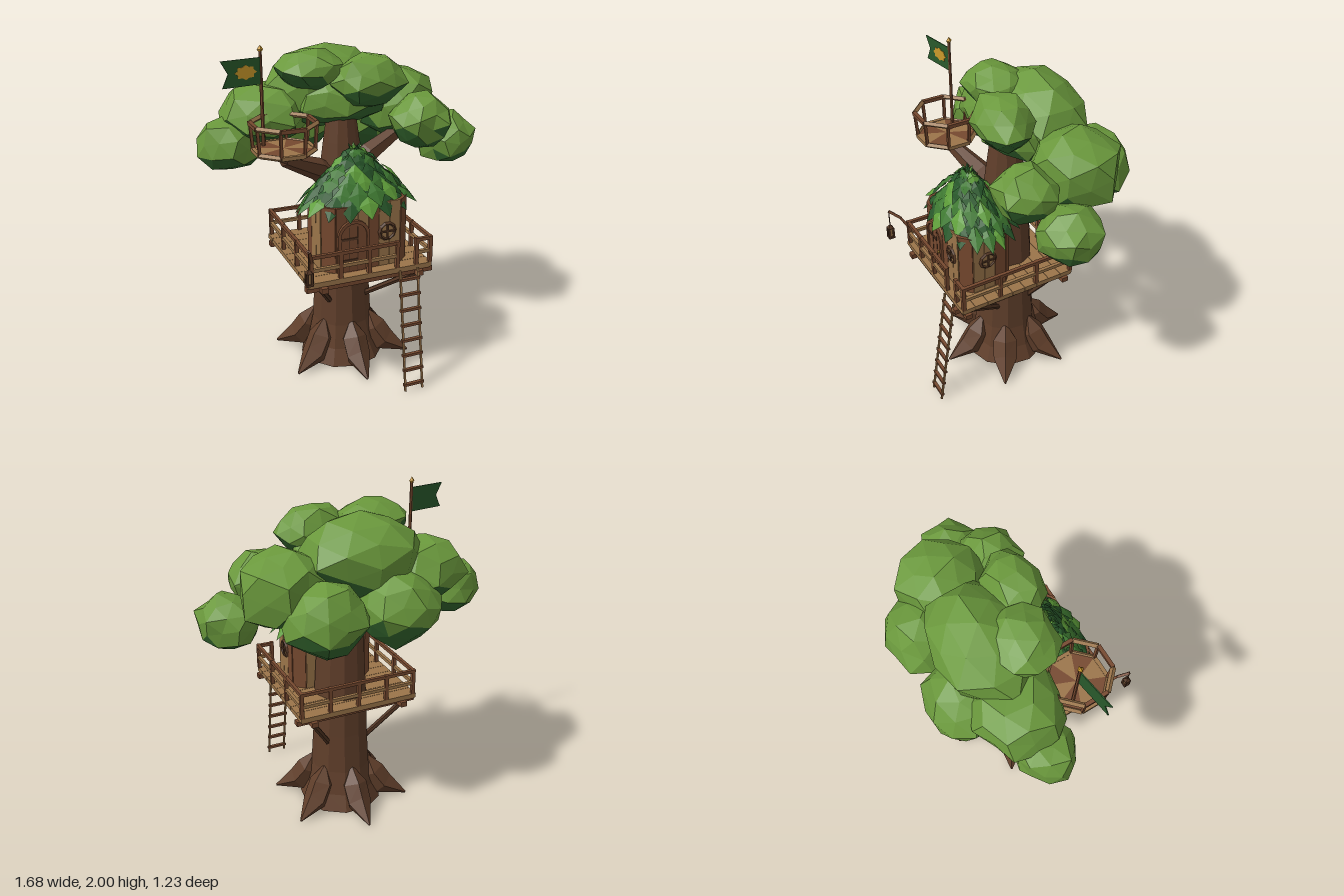
import * as THREE from 'three';

const paint = (name, color, side = THREE.FrontSide) => {
  const m = new THREE.MeshStandardMaterial({ color, side });
  m.name = name;
  return m;
};
const V = (x, y, z) => new THREE.Vector3(x, y, z);

// Separate every face so that edges stay crisp
function facet(geo) {
  const g = geo.index ? geo.toNonIndexed() : geo;
  g.computeVertexNormals();
  return g;
}

// Tapered low-poly limb through a list of [x, y, z, radius] sections
function limbGeometry(sections, sides) {
  const pos = [], idx = [];
  const p = sections.map(s => V(s[0], s[1], s[2]));
  p.forEach((c, i) => {
    const dir = p[Math.min(i + 1, p.length - 1)].clone().sub(p[Math.max(i - 1, 0)]).normalize();
    const side = V(0, 1, 0).cross(dir).normalize();
    const up = dir.clone().cross(side).normalize();
    for (let k = 0; k < sides; k++) {
      const a = (k / sides) * Math.PI * 2 + Math.PI / 2;
      const q = c.clone().addScaledVector(side, Math.cos(a) * sections[i][3]).addScaledVector(up, Math.sin(a) * sections[i][3]);
      pos.push(q.x, Math.max(q.y, 0), q.z);
      if (i) {
        const k2 = (k + 1) % sides, lo = (i - 1) * sides, hi = i * sides;
        idx.push(lo + k, lo + k2, hi + k2, lo + k, hi + k2, hi + k);
      }
    }
  });
  const g = new THREE.BufferGeometry();
  g.setAttribute('position', new THREE.Float32BufferAttribute(pos, 3));
  g.setIndex(idx);
  return facet(g);
}

export function createModel() {
  const root = new THREE.Group();
  root.name = 'treeHouse';
  const bark = paint('bark', 0x5f3e2a, THREE.DoubleSide), dark = paint('darkWood', 0x523523);
  const wood = paint('wood', 0x76492f), tan = paint('paleWood', 0x9b754a);
  const crown = paint('crownGreen', 0x6a983c), shade = paint('crownUnderside', 0x34672f);
  const leafLight = paint('thatchLight', 0x5f9f3a, THREE.DoubleSide);
  const leafMid = paint('thatchMid', 0x3f7a32, THREE.DoubleSide);
  const leafDark = paint('darkGreen', 0x29592b, THREE.DoubleSide), gold = paint('gold', 0xcc9a2a);

  const group = (name, x = 0, y = 0, z = 0, parent = root) => {
    const g = new THREE.Group();
    g.name = name;
    g.position.set(x, y, z);
    parent.add(g);
    return g;
  };
  const add = (parent, name, geo, mat, x = 0, y = 0, z = 0) => {
    const m = new THREE.Mesh(facet(geo), mat);
    m.name = name;
    m.position.set(x, y, z);
    parent.add(m);
    return m;
  };
  const box = (parent, name, mat, w, h, d, x, y, z) => add(parent, name, new THREE.BoxGeometry(w, h, d), mat, x, y, z);
  const beam = (parent, name, mat, a, b, t, sides = 4) => {
    const dir = b.clone().sub(a), mid = a.clone().add(b).multiplyScalar(0.5);
    const geo = sides === 4 ? new THREE.BoxGeometry(t, dir.length(), t) : new THREE.CylinderGeometry(t / 2, t / 2, dir.length(), sides);
    const m = add(parent, name, geo, mat, mid.x, mid.y, mid.z);
    m.quaternion.setFromUnitVectors(V(0, 1, 0), dir.normalize());
    return m;
  };

  // Trunk, six broad roots and two branches
  const tree = group('tree', -0.02, 0, 0);
  const profile = [[0.26, 0], [0.215, 0.1], [0.185, 0.25], [0.17, 0.5], [0.162, 0.75], [0.14, 1.15], [0.108, 1.4], [0.08, 1.6]];
  add(tree, 'trunk', new THREE.LatheGeometry(profile.map(q => new THREE.Vector2(...q)), 11), bark);
  for (let i = 0; i < 6; i++) {
    const a = (i / 6) * Math.PI * 2;
    const sec = [[0.165, 0.285, 0.004], [0.2, 0.175, 0.08], [0.275, 0.075, 0.078], [0.425, 0.006, 0.006]];
    add(tree, 'root', limbGeometry(sec.map(([r, y, w]) => [Math.sin(a) * r, y, Math.cos(a) * r, w]), 5), bark);
  }
  [[-0.4, 1.37, 0.15], [0.42, 1.42, -0.04]].forEach(([x, y, z]) =>
    add(tree, 'branch', limbGeometry([[0, 1.1, 0, 0.09], [x * 0.45, 1.1 + (y - 1.1) * 0.6, z * 0.45, 0.066], [x, y, z, 0.04]], 6), bark));

  // Leaf crown: faceted clumps, darker on the faces that look down
  const clumps = [
    [-0.04, 1.68, -0.2, 0.36, 0.24, 0.27], [-0.195, 1.825, -0.03, 0.2, 0.11, 0.18], [0.11, 1.755, 0.09, 0.215, 0.15, 0.16],
    [-0.43, 1.545, -0.2, 0.26, 0.185, 0.25], [-0.65, 1.395, -0.17, 0.19, 0.165, 0.165], [0.41, 1.55, -0.18, 0.25, 0.235, 0.25],
    [0.67, 1.34, 0.0, 0.18, 0.16, 0.185], [0.43, 1.505, 0.14, 0.185, 0.16, 0.175], [-0.18, 1.42, -0.405, 0.24, 0.2, 0.215],
    [0.25, 1.42, -0.4, 0.24, 0.21, 0.215], [0, 1.635, -0.03, 0.28, 0.15, 0.17]];
  const crownGroup = group('crown');
  clumps.forEach(([x, y, z, rx, ry, rz], n) => {
    const g = new THREE.IcosahedronGeometry(1, 1), p = g.attributes.position;
    const q = V(0, 0, 0);
    g.rotateY(n * 1.3).rotateX(n * 0.7);
    for (let i = 0; i < p.count; i++) {
      q.fromBufferAttribute(p, i);
      q.multiplyScalar(1 + 0.09 * Math.sin(q.x * 5 + n * 2) * Math.cos(q.z * 4 - n) + 0.06 * Math.sin(q.y * 7 + n));
      p.setXYZ(i, q.x * rx, q.y * ry, q.z * rz);
    }
    g.computeVertexNormals();
    g.clearGroups();
    for (let i = 0; i < p.count; i += 3) g.addGroup(i, 3, g.attributes.normal.getY(i) < -0.38 ? 1 : 0);
    add(crownGroup, 'leafClump', g, [crown, shade], x, y, z);
  });

  // Platform with joists and braces
  const deck = group('platform');
  for (let i = 0; i < 9; i++) box(deck, 'deckPlank', tan, 0.755, 0.028, 0.08, -0.032, 0.741, -0.211 + i * 0.0825);
  box(deck, 'deckUnderside', wood, 0.74, 0.01, 0.73, -0.03, 0.724, 0.118);
  [-0.32, 0.265].forEach(x => box(deck, 'joist', wood, 0.04, 0.032, 0.78, x, 0.706, 0.12));
  [-0.2, 0.455].forEach(z => box(deck, 'crossJoist', wood, 0.775, 0.03, 0.04, -0.028, 0.707, z));
  [[-1, 0.47, 0.1], [1, 0.47, 0.1], [-1, -0.22, -0.07], [1, -0.22, -0.07]].forEach(([s, z, z0]) =>
    beam(deck, 'brace', dark, V(-0.03 + s * 0.11, 0.41, z0), V(-0.03 + s * 0.3, 0.7, z), 0.036, 6));

  // Railing, open at the ladder
  const railing = group('railing');
  const rail = (x1, z1, x2, z2, n) => {
    [0.908, 0.83].forEach((y, k) => beam(railing, 'rail', k ? tan : wood, V(x1, y, z1), V(x2, y, z2), 0.02));
    for (let i = 0; i <= n; i++)
      box(railing, 'railPost', wood, 0.022, 0.165, 0.022, x1 + (x2 - x1) * i / n, 0.837, z1 + (z2 - z1) * i / n);
  };
  rail(-0.39, 0.478, 0.13, 0.478, 3);
  rail(0.25, 0.478, 0.338, 0.478, 1);
  rail(0.338, 0.478, 0.338, -0.242, 3);
  rail(0.338, -0.242, -0.39, -0.242, 4);
  rail(-0.39, -0.242, -0.39, 0.478, 3);

  // Rope ladder
  const ladder = group('ladder');
  const ladderZ = y => 0.615 - y * 0.155;
  [0.14, 0.25].forEach(x => beam(ladder, 'ladderRope', tan, V(x, 0, ladderZ(0)), V(x, 0.74, ladderZ(0.74)), 0.011));
  for (let i = 0; i < 8; i++) {
    const y = 0.04 + i * 0.092;
    box(ladder, 'rung', wood, 0.13, 0.016, 0.02, 0.195, y, ladderZ(y));
  }

  // Hut: chamfered walls clad in upright planks
  const hut = group('hut', -0.025, 0.755, 0.252);
  const plan = [[-0.195, 0.163], [0.195, 0.163], [0.258, 0.105], [0.258, -0.105], [0.195, -0.163], [-0.195, -0.163], [-0.258, -0.105], [-0.258, 0.105]];
  const outline = new THREE.Shape(plan.map(([x, z]) => new THREE.Vector2(x, -z)));
  add(hut, 'wallCore', new THREE.ExtrudeGeometry(outline, { depth: 0.39, bevelEnabled: false }).rotateX(-Math.PI / 2), wood);
  let tint = 0;
  plan.forEach(([x1, z1], i) => {
    const [x2, z2] = plan[(i + 1) % 8], len = Math.hypot(x2 - x1, z2 - z1), n = Math.max(1, Math.round(len / 0.065));
    for (let k = 0; k < n; k++) {
      const t = (k + 0.5) / n;
      const m = box(hut, 'wallPlank', tint++ % 3 === 0 || n === 1 ? wood : tan, len / n - 0.003, 0.39, 0.012, x1 + (x2 - x1) * t, 0.195, z1 + (z2 - z1) * t);
      m.rotation.y = Math.atan2(-(z2 - z1), x2 - x1);
    }
  });

  // Arched door
  const arch = (w, h) => {
    const s = new THREE.Shape();
    s.moveTo(-w, 0).lineTo(w, 0).lineTo(w, h - w).absarc(0, h - w, w, 0, Math.PI).lineTo(-w, 0);
    return s;
  };
  const slab = (shape, depth) => new THREE.ExtrudeGeometry(shape, { depth, bevelEnabled: false, curveSegments: 6 });
  const door = group('door', -0.093, 0, 0.169, hut);
  const frame = arch(0.096, 0.312);
  frame.holes.push(arch(0.078, 0.292));
  add(door, 'doorFrame', slab(frame, 0.016), wood);
  add(door, 'doorPanel', slab(arch(0.079, 0.293), 0.006), wood);
  [-0.026, 0.026].forEach(x => box(door, 'doorGroove', dark, 0.004, 0.27, 0.004, x, 0.135, 0.006));
  [0.07, 0.2].forEach(y => box(door, 'hinge', dark, 0.1, 0.014, 0.006, -0.025, y, 0.008));
  add(door, 'doorKnob', new THREE.IcosahedronGeometry(0.009), gold, 0.055, 0.13, 0.012);

  // Round windows
  [[0.115, 0.169, 0], [0.264, 0.012, Math.PI / 2]].forEach(([x, z, turn]) => {
    const w = group('window', x, 0.21, z, hut);
    w.rotation.y = turn;
    add(w, 'windowFrame', new THREE.TorusGeometry(0.047, 0.011, 4, 10), dark);
    add(w, 'windowPane', new THREE.CircleGeometry(0.047, 10), tan, 0, 0, 0.003);
    box(w, 'windowBar', dark, 0.09, 0.01, 0.01, 0, 0, 0.005);
    box(w, 'windowBar', dark, 0.01, 0.09, 0.01, 0, 0, 0.005);
  });

  // Leaf-thatched roof: rows of broad folded leaves over a cone
  const roof = group('roof', -0.03, 0, 0.235);
  add(roof, 'roofCore', new THREE.CylinderGeometry(0.03, 0.305, 0.28, 12).scale(1, 1, 0.7), leafDark, 0, 1.265, 0);
  const leaf = (name, mat, a, r0, y0, r1, y1, w) => {
    const at = (r, y, side) => V(Math.sin(a) * r + Math.cos(a) * side, y, (Math.cos(a) * r - Math.sin(a) * side) * 0.67);
    const rm = r0 + (r1 - r0) * 0.5, ym = y0 + (y1 - y0) * 0.5;
    const top = at(r0, y0, 0), tip = at(r1, y1, 0), mid = at(rm, ym + 0.02, 0), l = at(rm, ym, -w), r = at(rm, ym, w);
    add(roof, name, new THREE.BufferGeometry().setFromPoints([top, l, mid, top, mid, r, l, tip, mid, mid, tip, r]), mat);
  };
  const rows = [[0.24, 1.205, 0.37, 1.075, 18], [0.2, 1.26, 0.325, 1.12, 16], [0.155, 1.31, 0.265, 1.18, 13],
    [0.11, 1.35, 0.2, 1.245, 10], [0.06, 1.39, 0.14, 1.3, 8], [0.02, 1.42, 0.085, 1.35, 6]];
  const thatch = [leafLight, leafDark, leafMid, leafDark, leafMid];
  rows.forEach(([r0, y0, r1, y1, n], row) => {
    for (let i = 0; i < n; i++) {
      const wob = Math.sin(i * 4.7 + row * 2.1);
      leaf('roofLeaf', thatch[(i * 3 + row * 2) % 5], ((i + row * 0.5) / n) * Math.PI * 2,
        r0, y0, r1 + wob * 0.016, y1 + wob * 0.014, 0.06);
    }
  });
  for (let i = 0; i < 6; i++) leaf('roofTuft', i % 2 ? leafLight : leafDark, i * Math.PI / 3, 0.01, 1.38, 0.045, 1.445, 0.018);

  // Lookout basket with flagpole
  const nest = group('lookout', -0.425, 0, 0.17);
  for (let i = 0; i < 8; i++) {
    const a = i * Math.PI / 4 + Math.PI / 8, b = a + Math.PI / 4;
    const at = (t, r, y) => V(Math.sin(t) * r, y, Math.cos(t) * r);
    add(nest, 'floorWedge', new THREE.CylinderGeometry(0.17, 0.155, 0.03, 1, 1, false, a, Math.PI / 4), i % 2 ? tan : wood, 0, 1.43, 0);
    beam(nest, 'floorRim', tan, at(a, 0.172, 1.437), at(b, 0.172, 1.437), 0.022);
    beam(nest, 'topRail', i % 2 ? wood : tan, at(a, 0.184, 1.587), at(b, 0.184, 1.587), 0.022);
    beam(nest, 'nestPost', wood, at(a, 0.17, 1.43), at(a, 0.182, 1.587), 0.016);
  }
  const flag = group('flag', -0.515, 0, 0.085);
  add(flag, 'flagPole', new THREE.CylinderGeometry(0.009, 0.011, 0.55, 6), wood, 0, 1.7, 0);
  add(flag, 'finial', new THREE.OctahedronGeometry(0.018).scale(1, 1.3, 1), gold, 0, 1.976, 0);
  const cloth = group('cloth', 0, 0, 0, flag);
  cloth.rotation.y = 0.15;
  const shapeOf = pts => new THREE.Shape(pts.map(q => new THREE.Vector2(...q)));
  add(cloth, 'pennant', slab(shapeOf([[0, 1.79], [0, 1.935], [-0.23, 1.935], [-0.19, 1.863], [-0.225, 1.79]]), 0.006), leafDark);
  const star = Array.from({ length: 16 }, (_, i) => {
    const a = i * Math.PI / 8, r = i % 2 ? 0.78 : 1;
    return [Math.cos(a) * r * 0.064, Math.sin(a) * r * 0.04];
  });
  add(cloth, 'emblem', slab(shapeOf(star), 0.003), gold, -0.09, 1.863, 0.006);

  // Hanging lantern on a crooked arm
  const lamp = group('lantern', -0.44, 0, 0.582);
  const arm = [V(0.05, 0.88, -0.1), V(0.03, 0.95, -0.06), V(0, 1.0, 0)];
  [0, 1].forEach(i => beam(lamp, 'lanternArm', wood, arm[i], arm[i + 1], 0.016));
  beam(lamp, 'lanternCord', dark, V(0, 0.88, 0), V(0, 1.0, 0), 0.005);
  add(lamp, 'lanternCap', new THREE.ConeGeometry(0.027, 0.025, 4, 1).rotateY(Math.PI / 4), dark, 0, 0.888, 0);
  box(lamp, 'lanternGlow', tan, 0.024, 0.06, 0.024, 0, 0.845, 0);
  [-1, 1].forEach(sx => [-1, 1].forEach(sz => box(lamp, 'lanternBar', dark, 0.012, 0.07, 0.012, sx * 0.013, 0.842, sz * 0.013)));
  box(lamp, 'lanternBase', dark, 0.04, 0.012, 0.04, 0, 0.808, 0);
  return root;
}
